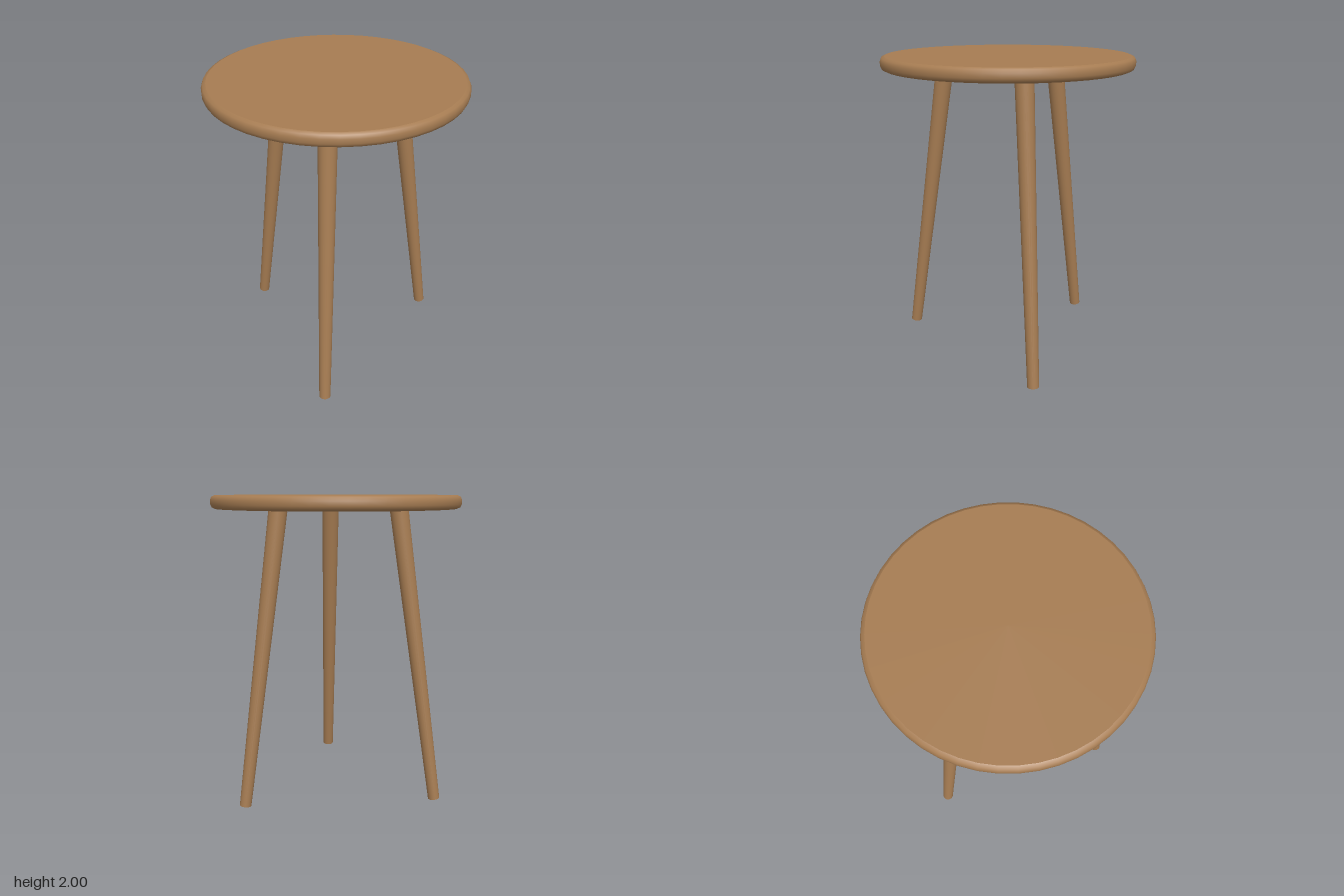
import * as THREE from 'three';

const wood = new THREE.MeshStandardMaterial({ color: 0xa67c52 });
wood.name = 'wood';

// Round seat with softened rims; doubled points keep the flat faces crisp
function makeSeat() {
  const profile = [
    [0, 1.915], [0.783, 1.915], [0.783, 1.915], [0.803, 1.924], [0.812, 1.944],
    [0.812, 1.971], [0.803, 1.991], [0.783, 2], [0.783, 2], [0, 2],
  ].map(([x, y]) => new THREE.Vector2(x, y));
  const seat = new THREE.Mesh(new THREE.LatheGeometry(profile, 48), wood);
  seat.name = 'seat';
  return seat;
}

// Tapered leg splayed outwards in the direction of the given angle
function makeLeg(name, angle) {
  const at = (r, y) => new THREE.Vector3(Math.sin(angle) * r, y, Math.cos(angle) * r);
  const foot = at(0.727, 0.006);
  const head = at(0.44, 1.906);
  const axis = head.clone().sub(foot);
  const leg = new THREE.Mesh(new THREE.CylinderGeometry(0.059, 0.038, axis.length(), 24), wood);
  leg.position.copy(foot).add(head).multiplyScalar(0.5);
  leg.quaternion.setFromUnitVectors(new THREE.Vector3(0, 1, 0), axis.normalize());
  leg.name = name;
  return leg;
}

export function createModel() {
  const stool = new THREE.Group();
  stool.name = 'stool';
  stool.add(makeSeat());
  ['frontLeg', 'backLeftLeg', 'backRightLeg'].forEach((name, i) => {
    stool.add(makeLeg(name, (i * Math.PI * 2) / 3));
  });
  return stool;
}
